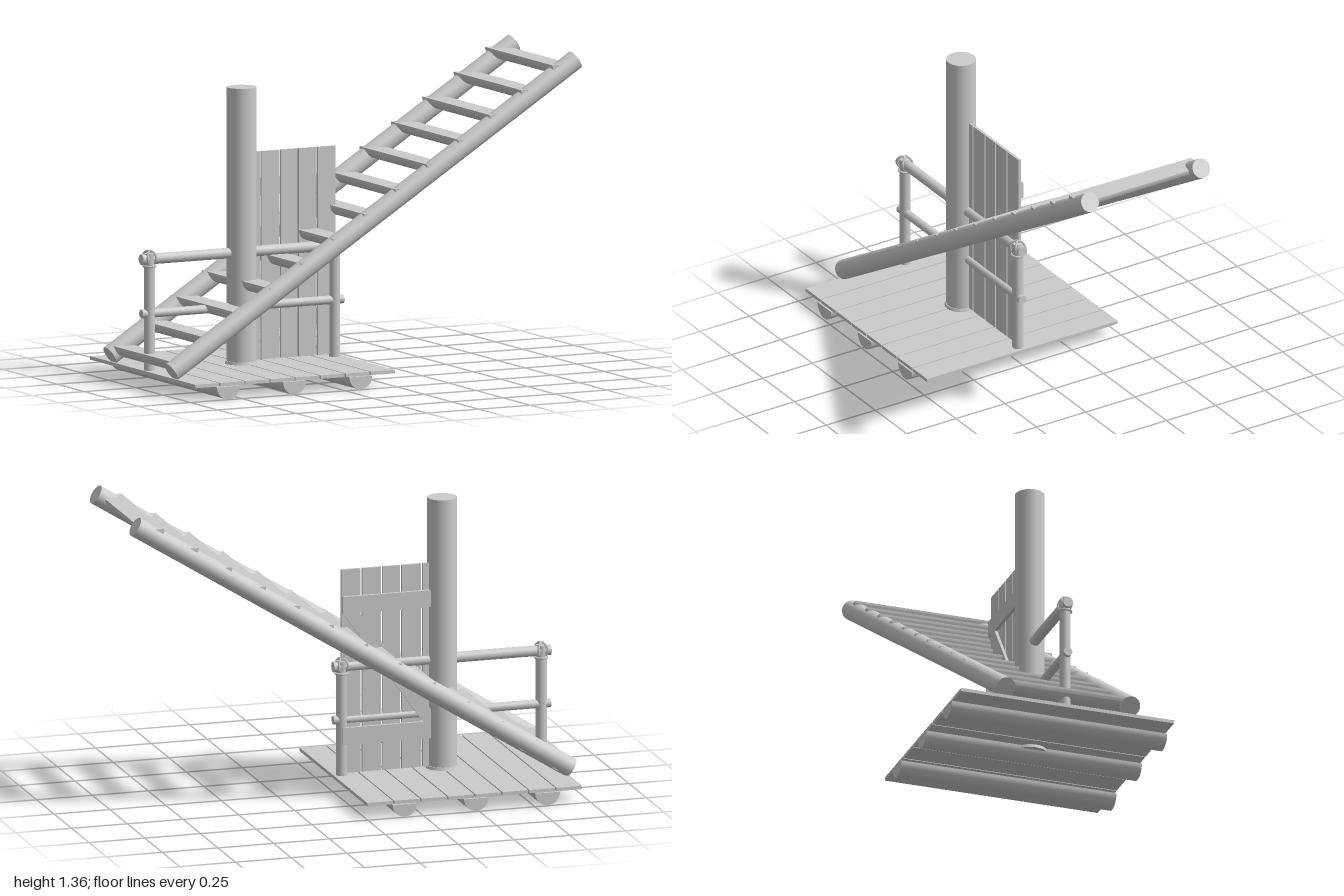
import * as THREE from 'three';
import { toCreasedNormals } from 'three/addons/utils/BufferGeometryUtils.js';

const material = new THREE.MeshStandardMaterial({ color: 0xcccccc });

function add(parent, name, geometry, x = 0, y = 0, z = 0) {
  const mesh = new THREE.Mesh(geometry, material);
  mesh.name = name;
  mesh.position.set(x, y, z);
  parent.add(mesh);
  return mesh;
}

// Round pole between two points
function pole(parent, name, from, to, radius, sides = 20) {
  const a = new THREE.Vector3(...from), b = new THREE.Vector3(...to);
  const dir = b.clone().sub(a);
  const mesh = add(parent, name, new THREE.CylinderGeometry(radius, radius, dir.length(), sides));
  mesh.position.copy(a).add(b).multiplyScalar(0.5);
  mesh.quaternion.setFromUnitVectors(new THREE.Vector3(0, 1, 0), dir.normalize());
  return mesh;
}

// Split log lying along z, flat side up at y = 0
function halfLog(radius, length) {
  const shape = new THREE.Shape();
  shape.absarc(0, 0, radius, Math.PI, Math.PI * 2, false);
  shape.closePath();
  const geometry = new THREE.ExtrudeGeometry(shape, { depth: length, bevelEnabled: false, curveSegments: 12 });
  geometry.translate(0, 0, -length / 2);
  return toCreasedNormals(geometry, 0.6);
}

function createFloor() {
  const floor = new THREE.Group();
  floor.name = 'floor';
  const count = 8, pitch = 0.97 / count;
  for (let i = 0; i < count; i++) {
    add(floor, 'floorPlank', new THREE.BoxGeometry(pitch - 0.006, 0.015, 0.968),
      -0.97 + pitch * (i + 0.5), 0.0675, 0);
  }
  for (const x of [-0.81, -0.49, -0.17]) add(floor, 'floorBeam', halfLog(0.055, 0.98), x, 0.058, 0);
  return floor;
}

function createLadder() {
  const ladder = new THREE.Group();
  ladder.name = 'ladder';
  for (const z of [-0.283, 0.283]) {
    pole(ladder, 'ladderRail', [-0.977, 0.105, z], [0.975, 1.325, z], 0.043, 24);
  }
  const rung = halfLog(0.047, 0.62);
  for (let i = 0; i < 13; i++) add(ladder, 'rung', rung, 0.898 - 0.152 * i, 1.312 - 0.097 * i, 0);
  return ladder;
}

function createRailing() {
  const railing = new THREE.Group();
  railing.name = 'railing';
  pole(railing, 'upperRail', [-0.975, 0.555, 0], [0, 0.555, 0], 0.023);
  pole(railing, 'lowerRail', [-0.975, 0.32, 0], [0, 0.32, 0], 0.019);
  for (const x of [-0.935, -0.04]) {
    pole(railing, 'railingPost', [x, 0.07, 0], [x, 0.58, 0], 0.024);
    // Rope wound crosswise over the joint
    for (const tilt of [-1, 1]) {
      const rope = add(railing, 'lashing', new THREE.TorusGeometry(0.032, 0.005, 6, 20), x, 0.56, 0);
      rope.rotation.set(0, Math.PI / 2 + tilt * 0.7, 0);
    }
    add(railing, 'lashing', new THREE.TorusGeometry(0.027, 0.005, 6, 20), x, 0.525, 0).rotation.x = Math.PI / 2;
  }
  return railing;
}

function createDoor() {
  const door = new THREE.Group();
  door.name = 'door';
  const planks = [[-0.48, -0.4], [-0.392, -0.306], [-0.298, -0.22], [-0.212, -0.129], [-0.12, -0.035]];
  for (const [x0, x1] of planks) {
    add(door, 'doorPlank', new THREE.BoxGeometry(x1 - x0, 0.9, 0.012), (x0 + x1) / 2, 0.535, -0.006);
  }
  // Cross battens and the diagonal brace on the back
  for (const y of [0.83, 0.25]) {
    add(door, 'doorBatten', new THREE.BoxGeometry(0.44, 0.075, 0.014), -0.257, y, -0.019);
  }
  const dx = 0.36, dy = 0.51;
  const brace = add(door, 'doorBrace', new THREE.BoxGeometry(Math.hypot(dx, dy), 0.06, 0.013), -0.255, 0.54, -0.0185);
  brace.rotation.z = Math.atan2(dy, dx);
  return door;
}

export function createModel() {
  const model = new THREE.Group();
  model.name = 'ladderPlatform';
  model.add(createFloor(), createLadder(), createRailing(), createDoor());

  // Central mast and its collar through the floor
  pole(model, 'mast', [-0.49, 0.05, 0], [-0.49, 1.27, 0], 0.064, 28);
  add(model, 'mastCollar', new THREE.CylinderGeometry(0.068, 0.08, 0.042, 28), -0.49, 0.066, 0);
  return model;
}
